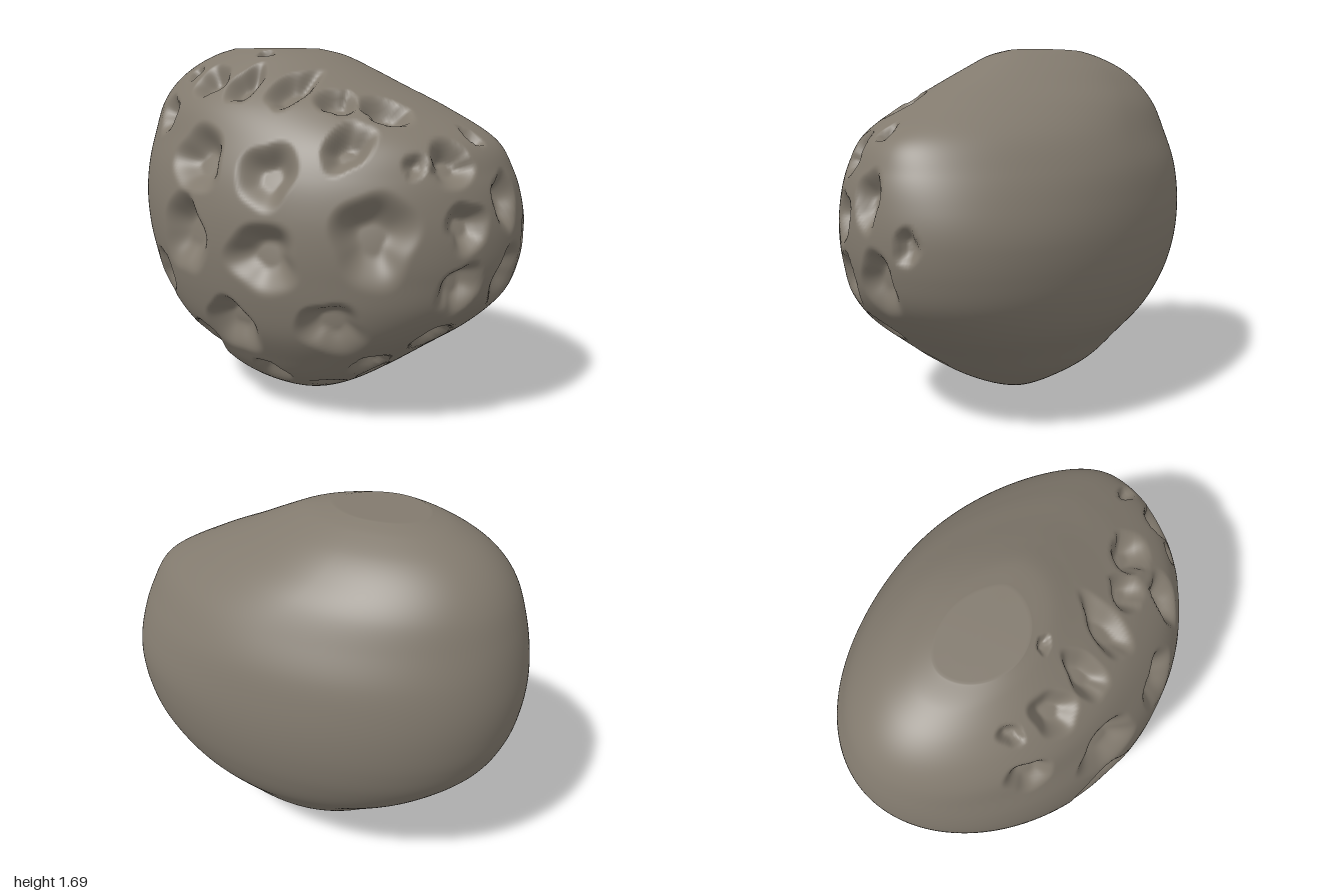
import * as THREE from 'three';

// Horizontal sections: height, left x, right x, front depth, back depth
const SECTIONS = [
  [0, -0.01, 0.01, 0.01, 0.01], [0.03, -0.1, 0.11, 0.13, 0.11],
  [0.1, -0.25, 0.28, 0.31, 0.25], [0.2, -0.4, 0.44, 0.46, 0.4],
  [0.32, -0.56, 0.61, 0.555, 0.51], [0.45, -0.74, 0.79, 0.635, 0.615],
  [0.59, -0.885, 0.925, 0.68, 0.675], [0.73, -0.957, 0.982, 0.706, 0.707],
  [0.87, -0.99, 1, 0.717, 0.717], [1.01, -1, 0.99, 0.71, 0.706],
  [1.15, -0.987, 0.953, 0.68, 0.675], [1.29, -0.957, 0.87, 0.62, 0.612],
  [1.42, -0.91, 0.64, 0.545, 0.535], [1.52, -0.84, 0.42, 0.445, 0.445],
  [1.6, -0.74, 0.25, 0.34, 0.35], [1.66, -0.61, 0.11, 0.25, 0.24],
  [1.69, -0.49, -0.03, 0.19, 0.16],
];

// Pits on the front: x, y, half width, half height, depth
const FRONT_PITS = [
  [-0.51, 1.57, 0.05, 0.04, 0.04], [-0.33, 1.54, 0.11, 0.08, 0.07],
  [-0.12, 1.53, 0.09, 0.09, 0.07], [0.11, 1.51, 0.1, 0.09, 0.07],
  [-0.57, 1.38, 0.1, 0.1, 0.06], [-0.15, 1.665, 0.05, 0.015, 0.03],
  [-0.23, 1.2, 0.18, 0.16, 0.09], [0.17, 1.16, 0.15, 0.15, 0.08],
  [0.47, 1.28, 0.1, 0.11, 0.08], [-0.29, 0.86, 0.18, 0.2, 0.09],
  [0.17, 0.81, 0.19, 0.17, 0.09], [0.62, 0.91, 0.16, 0.22, 0.09],
  [-0.54, 0.62, 0.1, 0.13, 0.07], [-0.05, 0.46, 0.17, 0.15, 0.09],
  [0.44, 0.51, 0.15, 0.14, 0.08], [-0.29, 0.33, 0.1, 0.11, 0.06],
  [0.05, 0.21, 0.1, 0.08, 0.06], [-0.2, 0.14, 0.08, 0.035, 0.03],
  [0.25, 0.15, 0.06, 0.035, 0.03],
];

// Pits on the left flank: z, y, half width, half height, depth
const FLANK_PITS = [
  [0.02, 1.04, 0.09, 0.14, 0.07], [-0.03, 0.7, 0.11, 0.16, 0.07],
  [-0.2, 0.87, 0.06, 0.09, 0.05], [0.24, 0.95, 0.1, 0.12, 0.08],
  [0.24, 0.68, 0.1, 0.13, 0.08], [0.05, 1.31, 0.045, 0.04, 0.04],
  [0.16, 0.2, 0.06, 0.05, 0.04],
];

// Pits on slanting edges: centre x, y, z, half extents x, y, z, depth
const EDGE_PITS = [
  [0.49, 0.28, 0.31, 0.12, 0.1, 0.11, 0.06], [0.73, 0.41, 0.19, 0.1, 0.11, 0.11, 0.07],
  [0.52, 1.42, 0.25, 0.15, 0.1, 0.11, 0.08], [0.82, 1.21, 0.24, 0.12, 0.13, 0.11, 0.08],
  [0.33, 1.47, 0.35, 0.11, 0.09, 0.11, 0.07], [0.71, 1.2, 0.36, 0.06, 0.07, 0.06, 0.04],
];

const AROUND = 360, STEPS = 11, CAP_RINGS = 6;
const { smoothstep, clamp } = THREE.MathUtils;

// Smooth interpolation between neighbouring sections
function sectionAt(t) {
  const last = SECTIONS.length - 1;
  const i = Math.min(Math.floor(t), last - 1), f = t - i;
  const [a, b, c, d] = [-1, 0, 1, 2].map(k => SECTIONS[clamp(i + k, 0, last)]);
  return b.map((v, k) => v + 0.5 * f * (c[k] - a[k]
    + f * (2 * a[k] - 5 * v + 4 * c[k] - d[k] + f * (3 * (v - c[k]) + d[k] - a[k]))));
}

// How far a point sinks, from its place in the pit (rim at 1); the roof is deepest
function pitDepth(u, v, w, depth, id) {
  if (u * u + v * v + w * w > 1.5) return 0;
  const angle = Math.atan2(v, u);
  const rim = 1 + 0.07 * Math.sin(3 * angle + id * 1.7) + 0.04 * Math.sin(5 * angle + id * 2.9);
  const r = Math.hypot(u, v, w) / rim;
  return depth * (1 - smoothstep(r, 0.3, 1)) * (1 + 0.4 * v);
}

// Deepest pit reaching a point of the surface
function sinkAt(p) {
  const depths = EDGE_PITS.map(([x, y, z, rx, ry, rz, depth], k) =>
    pitDepth((p.x - x) / rx, (p.y - y) / ry, (p.z - z) / rz, depth, k + 50));
  const flatPits = (pits, across, id) => pits.forEach(([c, y, rw, rh, depth], k) =>
    depths.push(pitDepth((across - c) / rw, (p.y - y) / rh, 0, depth, k + id)));
  if (p.z > 0.1) flatPits(FRONT_PITS, p.x, 0);
  if (p.x > 0.1) flatPits(FLANK_PITS, p.z, 30);
  return Math.max(...depths);
}

function rockGeometry() {
  const positions = [], index = [];
  const addRing = ([y, xl, xr, front, back], scale = 1) => {
    // fuller low front, tapered upper back on the left
    const full = 0.28 * (1 - smoothstep(y, 0.25, 0.75));
    const taper = 0.28 * smoothstep(y, 0.85, 1.35);
    for (let j = 0; j < AROUND; j++) {
      const u = j / AROUND * Math.PI * 2;
      const angle = u + 0.35 * Math.cos(u); // finer mesh at the front
      const s = Math.sin(angle), c = Math.cos(angle);
      const depth = s > 0 ? front * (1 + full * c * c) : back * (1 - taper * Math.max(c, 0) ** 2);
      // both flanks sit slightly towards the back
      const z = s * depth - 0.09 * front * c * c;
      positions.push((xl + xr) / 2 + (xr - xl) / 2 * c * scale, y, z * scale);
    }
  };

  // Body rings, then the flat top closing to its centre
  const spans = (SECTIONS.length - 1) * STEPS;
  for (let i = 0; i <= spans; i++) addRing(sectionAt(i / STEPS));
  const top = SECTIONS[SECTIONS.length - 1];
  for (let i = 1; i < CAP_RINGS; i++) addRing(top, 1 - (i === 1 ? 0.05 : i / CAP_RINGS));
  const rings = spans + CAP_RINGS;
  for (let i = 0; i < rings - 1; i++) {
    for (let j = 0; j < AROUND; j++) {
      const a = i * AROUND + j, b = i * AROUND + (j + 1) % AROUND;
      index.push(a, a + AROUND, b, b, a + AROUND, b + AROUND);
    }
  }
  // Closing points at the foot and the top
  const foot = positions.length / 3, peak = foot + 1;
  positions.push(0, 0, 0, (top[1] + top[2]) / 2, top[0], 0);
  for (let j = 0; j < AROUND; j++) {
    const k = (j + 1) % AROUND, r = (rings - 1) * AROUND;
    index.push(foot, j, k, peak, r + k, r + j);
  }

  const geometry = new THREE.BufferGeometry();
  geometry.setAttribute('position', new THREE.Float32BufferAttribute(positions, 3));
  geometry.setIndex(index);
  geometry.computeVertexNormals();

  // Press the pits inward along the surface normals
  const pos = geometry.attributes.position, nor = geometry.attributes.normal;
  const p = new THREE.Vector3(), n = new THREE.Vector3();
  for (let i = 0; i < pos.count; i++) {
    p.fromBufferAttribute(pos, i);
    n.fromBufferAttribute(nor, i);
    p.addScaledVector(n, -sinkAt(p));
    pos.setXYZ(i, p.x, p.y, p.z);
  }
  geometry.computeVertexNormals();
  return geometry;
}

export function createModel() {
  const stone = new THREE.MeshStandardMaterial({ color: 0x827a6e });
  stone.name = 'stone';
  const rock = new THREE.Mesh(rockGeometry(), stone);
  rock.name = 'pittedRock';
  const group = new THREE.Group();
  group.name = 'rock';
  group.add(rock);
  return group;
}
